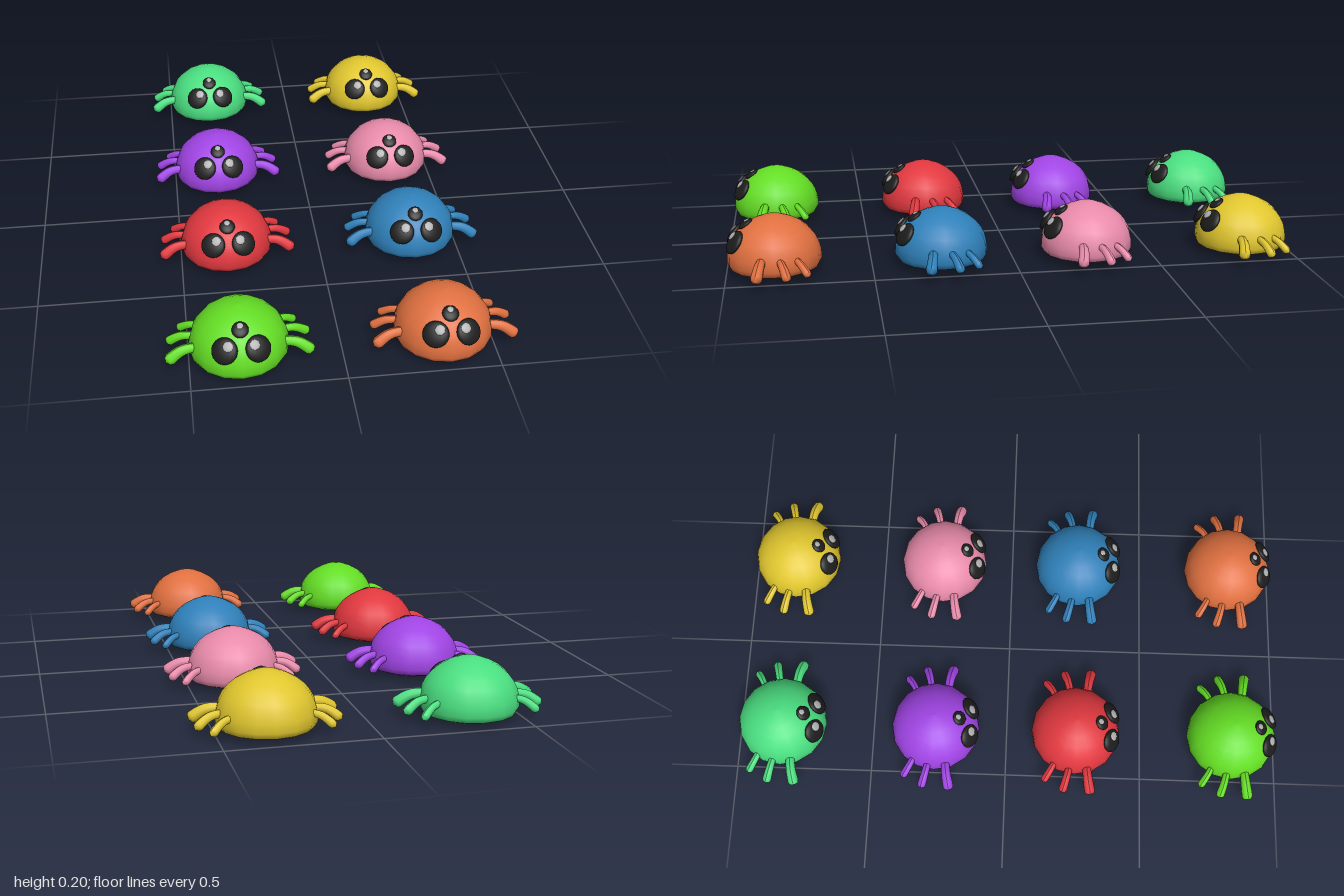
import * as THREE from 'three';

const V = (x, y, z) => new THREE.Vector3(x, y, z);
const paint = (color) => {
  const m = new THREE.MeshStandardMaterial();
  m.color.set(color);
  return m;
};

function part(name, geometry, material) {
  const mesh = new THREE.Mesh(geometry, material);
  mesh.name = name;
  return mesh;
}

// Domed shell with a shallow rounded underside
function shellGeometry() {
  const profile = [
    [0, 0], [0.08, 0.003], [0.125, 0.01], [0.153, 0.021], [0.163, 0.04], [0.161, 0.07],
    [0.154, 0.099], [0.142, 0.123], [0.123, 0.147], [0.098, 0.168], [0.067, 0.185],
    [0.034, 0.197], [0, 0.2],
  ].map(([r, y]) => new THREE.Vector2(r, y));
  return new THREE.LatheGeometry(profile, 16);
}

// Bent leg: a tube whose rings swell toward a rounded tip
function legGeometry(points, radius) {
  const curve = new THREE.CatmullRomCurve3(points);
  const rings = 16, sides = 10;
  const g = new THREE.TubeGeometry(curve, rings, 1, sides);
  const p = g.attributes.position, v = V(0, 0, 0);
  for (let i = 0; i <= rings; i++) {
    const t = i / rings, c = curve.getPointAt(t);
    const cap = t > 0.85 ? Math.sqrt(Math.max(0, 1 - ((t - 0.85) / 0.15) ** 2)) : 1;
    const r = radius * (0.7 + 0.3 * t) * cap;
    for (let j = 0; j <= sides; j++) {
      const k = i * (sides + 1) + j;
      v.fromBufferAttribute(p, k).sub(c).multiplyScalar(r).add(c);
      p.setXYZ(k, v.x, v.y, v.z);
    }
  }
  g.computeVertexNormals();
  return g;
}

const LEGS = [
  { name: 'FrontLeg', r: 0.021, pts: [[0.12, 0.075, 0.04], [0.185, 0.07, 0.048], [0.238, 0.036, 0.06]] },
  { name: 'MiddleLeg', r: 0.017, pts: [[0.125, 0.075, -0.016], [0.185, 0.068, -0.03], [0.233, 0.035, -0.045]] },
  { name: 'BackLeg', r: 0.015, pts: [[0.1, 0.075, -0.062], [0.153, 0.066, -0.088], [0.195, 0.034, -0.116]] },
];

const dark = paint(0x1c1c1c);
const shine = paint(0xb0b0b0);
const ball = new THREE.SphereGeometry(1, 20, 14);
const shell = shellGeometry();
const legs = [];
for (const side of [1, -1]) {
  for (const { name, r, pts } of LEGS) {
    legs.push({
      name: (side > 0 ? 'left' : 'right') + name,
      geometry: legGeometry(pts.map(([x, y, z]) => V(side * x, y, z)), r),
    });
  }
}

// Flattened eye facing outward from the shell, with a pale glint
function eye(name, position, normal, radius, glintX) {
  const g = new THREE.Group();
  g.name = name;
  const pupil = part('pupil', ball, dark);
  pupil.scale.set(radius, radius, radius * 0.36);
  const glint = part('glint', ball, shine);
  glint.scale.set(radius * 0.38, radius * 0.38, radius * 0.1);
  glint.position.set(glintX * radius * 0.3, radius * 0.38, radius * 0.31);
  glint.rotation.set(-0.16, glintX * 0.12, 0);
  g.add(pupil, glint);
  g.position.copy(position);
  g.rotation.order = 'YXZ';
  g.rotation.y = Math.atan2(normal.x, normal.z);
  g.rotation.x = -Math.asin(normal.y / normal.length());
  return g;
}

function makeCrab(name, color) {
  const crab = new THREE.Group();
  crab.name = name;
  const skin = paint(color);
  crab.add(part('shell', shell, skin));
  for (const leg of legs) crab.add(part(leg.name, leg.geometry, skin));
  crab.add(
    eye('leftEye', V(0.053, 0.122, 0.131), V(0.31, 0.56, 0.77), 0.043, -1),
    eye('rightEye', V(-0.053, 0.122, 0.131), V(-0.31, 0.56, 0.77), 0.043, 1),
    eye('middleEye', V(0, 0.171, 0.093), V(0, 0.82, 0.57), 0.027, 0),
  );
  return crab;
}

export function createModel() {
  const model = new THREE.Group();
  model.name = 'crabs';
  // Rows from back to front: right-hand crab, left-hand crab
  const rows = [
    [-0.837, ['greenCrab', 0x4ade80], ['yellowCrab', 0xe0c62e]],
    [-0.265, ['purpleCrab', 0xa044e4], ['pinkCrab', 0xe88aaa]],
    [0.256, ['redCrab', 0xe0383f], ['blueCrab', 0x2f80b9]],
    [0.835, ['limeCrab', 0x64dd24], ['orangeCrab', 0xe07040]],
  ];
  for (const [z, ...pair] of rows) {
    pair.forEach(([name, color], i) => {
      const crab = makeCrab(name, color);
      crab.position.set(i ? 0.335 : -0.335, 0, z);
      model.add(crab);
    });
  }
  return model;
}
